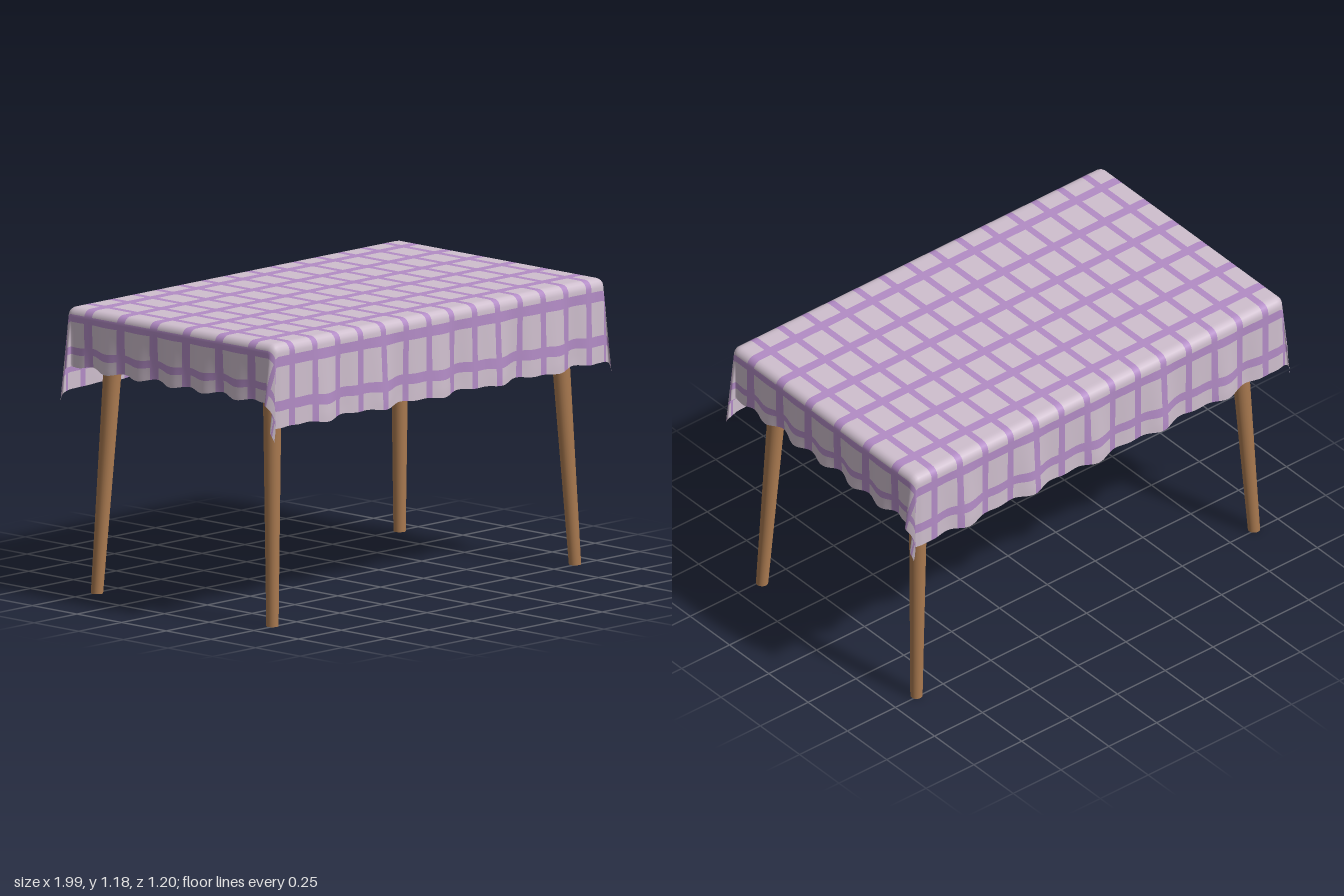
import * as THREE from 'three';

const wood = new THREE.MeshStandardMaterial({ name: 'wood', color: 0xaa7a50 });
const purple = new THREE.MeshStandardMaterial({ name: 'purple cloth', color: 0xb38cc6, side: THREE.DoubleSide });
const pale = new THREE.MeshStandardMaterial({ name: 'pale cloth', color: 0xcfbfce, side: THREE.DoubleSide });

// Tablecloth sizes: checks, flat area and edge rounding
const PX = 0.133, PZ = 0.183, NX = 18, NZ = 10, SUB = 13;
const FLAT_X = 0.935, FLAT_Z = 0.55, R = 0.035, TOP = 1.18;

// Places a point of the flat cloth on the draped surface
function drape(u, v) {
  const a = Math.max(0, Math.abs(u) - FLAT_X), b = Math.max(0, Math.abs(v) - FLAT_Z);
  let x = Math.min(Math.abs(u), FLAT_X), z = Math.min(Math.abs(v), FLAT_Z), y = TOP;
  const d = Math.hypot(a, b);
  if (d > 0) {
    const phi = Math.atan2(b, a), bend = Math.min(d / R, Math.PI / 2);
    const hang = Math.max(0, d - R * Math.PI / 2);
    const c = Math.cos(phi), s = Math.sin(phi);
    let out = R * Math.sin(bend);
    y -= R * (1 - Math.cos(bend)) + hang;
    if (a === 0 || b === 0) {
      // rippled side, calming down towards the corners
      const onFront = a === 0;
      const wave = onFront
        ? 0.6 * Math.cos(u * 19 + Math.sign(v) * 0.4) + 0.4 * Math.sin(u * 37 + 1)
        : 0.8 * Math.cos(v * 34.5 + Math.sign(u) * 0.5) + 0.2 * Math.sin(v * 17);
      const toCorner = onFront ? FLAT_X - Math.abs(u) : FLAT_Z - Math.abs(v);
      const calm = THREE.MathUtils.smoothstep(toCorner, 0, 0.1);
      const grow = Math.min(1, hang / (onFront ? 0.28 : 0.2));
      out += calm * grow * (0.003 + 0.013 * wave);
      y -= calm * grow * 0.009 * wave;
    }
    // gathered corner folds
    const fold = Math.sin(2 * phi), pleat = Math.sin(6 * phi);
    x += out * c + hang * (0.11 * fold + 0.06 * pleat);
    z += out * s + hang * (0.03 * fold - 0.04 * pleat);
    y += hang * 0.1 * fold * fold;
  }
  return [x * Math.sign(u), y, z * Math.sign(v)];
}

// Pale rounded checks on a purple ground, as two groups of one smooth sheet
function makeCloth() {
  const nu = NX * SUB, nv = NZ * SUB, pos = [], paleIdx = [], purpleIdx = [];
  const off = (t) => Math.abs(t - Math.round(t)) / 0.4;
  for (let j = 0; j <= nv; j++)
    for (let i = 0; i <= nu; i++)
      pos.push(...drape((i / SUB - NX / 2) * PX, (j / SUB - NZ / 2) * PZ));
  for (let j = 0; j < nv; j++)
    for (let i = 0; i < nu; i++) {
      const fx = off((i + 0.5) / SUB - NX / 2), fz = off((j + 0.5) / SUB - NZ / 2);
      const list = fx ** 5 + fz ** 5 < 1 ? paleIdx : purpleIdx;
      const p = j * (nu + 1) + i, q = p + nu + 1;
      list.push(p, q, p + 1, p + 1, q, q + 1);
    }
  const g = new THREE.BufferGeometry();
  g.setAttribute('position', new THREE.Float32BufferAttribute(pos, 3));
  g.setIndex([...paleIdx, ...purpleIdx]);
  g.addGroup(0, paleIdx.length, 0);
  g.addGroup(paleIdx.length, purpleIdx.length, 1);
  g.computeVertexNormals();
  return g;
}

export function createModel() {
  const model = new THREE.Group();
  model.name = 'table';
  const add = (name, geo, mat, x = 0, y = 0, z = 0) => {
    const m = new THREE.Mesh(geo, mat);
    m.name = name;
    m.position.set(x, y, z);
    model.add(m);
  };

  add('tablecloth', makeCloth(), [pale, purple]);
  add('tableTop', new THREE.BoxGeometry(1.9, 0.045, 1.12), wood, 0, 1.1425, 0);

  // Apron rails and splayed, tapered legs with level feet
  const H = 1.13;
  for (const s of [1, -1]) {
    add('longRail', new THREE.BoxGeometry(1.66, 0.13, 0.04), wood, 0, 1.06, s * 0.44);
    add('shortRail', new THREE.BoxGeometry(0.04, 0.13, 0.88), wood, s * 0.83, 1.06, 0);
    for (const t of [1, -1]) {
      const leg = new THREE.CylinderGeometry(0.04, 0.025, H, 24);
      leg.translate(0, H / 2, 0);
      const p = leg.attributes.position;
      for (let i = 0; i < p.count; i++) {
        const k = p.getY(i) / H;
        p.setX(i, p.getX(i) + s * (0.882 - 0.055 * k));
        p.setZ(i, p.getZ(i) + t * (0.491 - 0.054 * k));
      }
      add('leg', leg, wood);
    }
  }
  return model;
}
